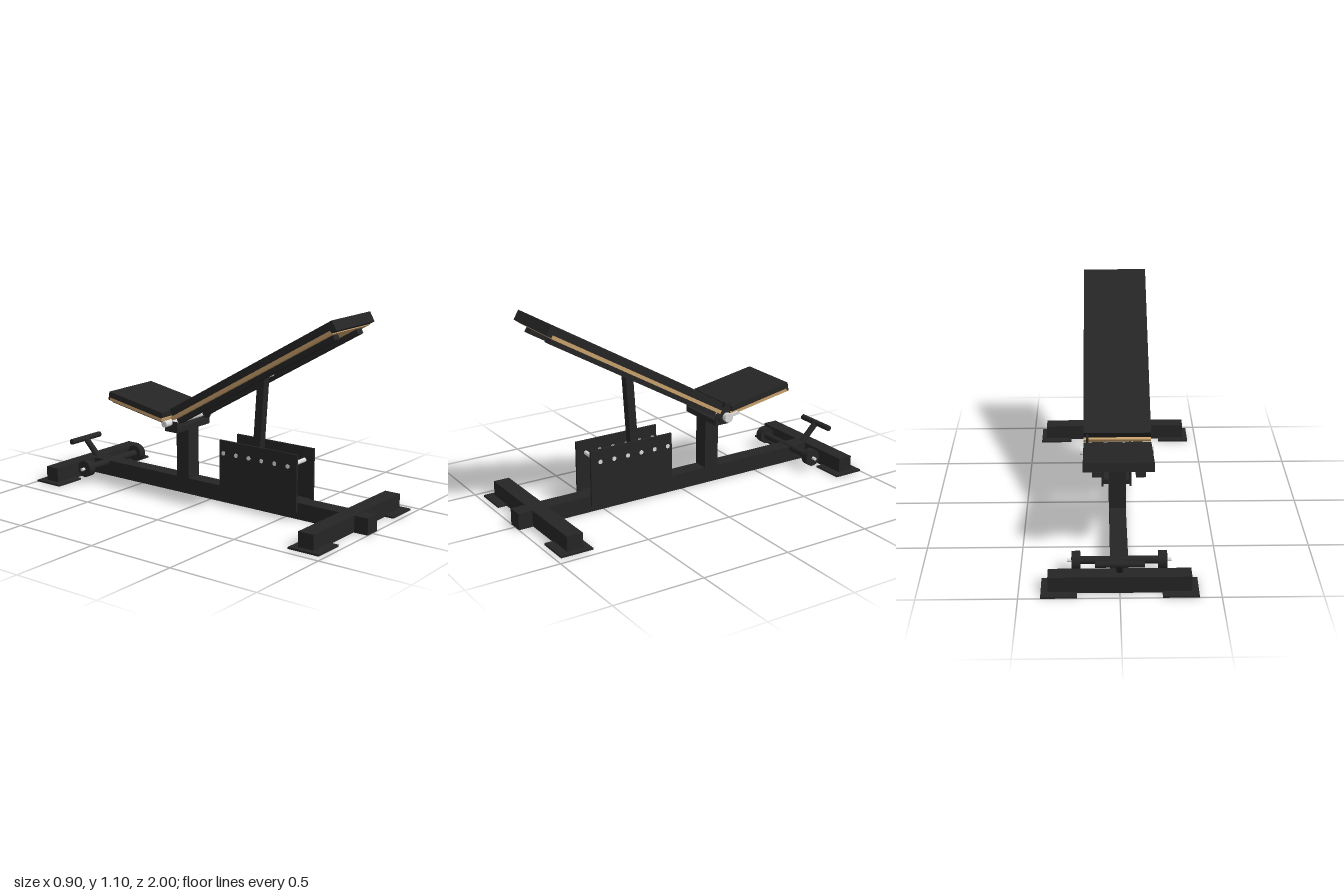
import * as THREE from 'three';

const mat = (name, color) => Object.assign(new THREE.MeshStandardMaterial({ color }), { name });

export function createModel() {
  const black = mat('black', 0x252525);
  const wood = mat('plywood', 0xc8a06a);
  const metal = mat('steel', 0xdadada);

  const model = new THREE.Group();
  model.name = 'adjustableBench';

  // Box given by its min and max on each axis
  const box = (name, m, [x0, x1], [y0, y1], [z0, z1], parent = model) => {
    const mesh = new THREE.Mesh(new THREE.BoxGeometry(x1 - x0, y1 - y0, z1 - z0), m);
    mesh.position.set((x0 + x1) / 2, (y0 + y1) / 2, (z0 + z1) / 2);
    mesh.name = name;
    parent.add(mesh);
    return mesh;
  };
  // Round bar along x
  const rod = (name, m, x0, x1, y, z, r, parent = model, sides = 20) => {
    const mesh = new THREE.Mesh(new THREE.CylinderGeometry(r, r, x1 - x0, sides), m);
    mesh.rotation.z = Math.PI / 2;
    mesh.position.set((x0 + x1) / 2, y, z);
    mesh.name = name;
    parent.add(mesh);
    return mesh;
  };
  // Bar between two points in the x = 0 plane
  const strut = (name, geometry, y0, z0, y1, z1) => {
    const mesh = new THREE.Mesh(geometry, black);
    mesh.position.set(0, (y0 + y1) / 2, (z0 + z1) / 2);
    mesh.rotation.x = Math.atan2(z1 - z0, y1 - y0);
    mesh.name = name;
    model.add(mesh);
  };
  const sides = [-1, 1];
  const span = (s, a, b) => (s > 0 ? [a, b] : [-b, -a]);

  // Base frame
  box('mainBeam', black, [-0.045, 0.045], [0, 0.09], [-0.9, 1]);
  box('frontCrossbar', black, [-0.42, 0.42], [0.002, 0.091], [0.83, 0.92]);
  box('rearCrossbar', black, [-0.355, 0.355], [0.002, 0.091], [-0.955, -0.87]);
  for (const s of sides) {
    box('frontFootPlate', black, span(s, 0.27, 0.45), [0, 0.01], [0.79, 0.97]);
    box('rearFootPlate', black, span(s, 0.21, 0.39), [0, 0.01], [-1, -0.825]);
  }

  // Transport wheels
  rod('wheelAxleTube', black, -0.2, 0.2, 0.08, -0.77, 0.02);
  rod('wheelAxle', metal, -0.262, 0.262, 0.08, -0.77, 0.009);
  for (const s of sides) {
    const [a, b] = span(s, 0.196, 0.24);
    rod('wheel', black, a, b, 0.08, -0.77, 0.047, model, 28);
  }

  // Lifting handle
  strut('handleStem', new THREE.CylinderGeometry(0.018, 0.018, 0.145, 16), 0.08, -0.88, 0.181, -0.982);
  rod('handleGrip', black, -0.12, 0.12, 0.181, -0.982, 0.0165);

  // Post and cradle
  box('post', black, [-0.045, 0.045], [0.085, 0.4], [-0.24, -0.155]);
  box('cradle', black, [-0.145, 0.145], [0.37, 0.4], [-0.24, -0.155]);
  for (const s of sides) box('cradleCheek', black, span(s, 0.137, 0.145), [0.37, 0.43], [-0.24, -0.155]);

  // Pivot with toothed adjuster and lever
  const py = 0.422, pz = -0.205;
  rod('pivotRod', metal, -0.195, 0.2, py, pz, 0.018);
  rod('pivotCap', metal, 0.175, 0.2, py, pz, 0.026);
  const lever = box('lever', metal, [0.178, 0.196], [py + 0.004, py + 0.02], [-0.272, pz]);
  lever.rotation.x = 0.15;
  const gear = new THREE.Shape();
  for (let i = 0; i <= 14; i++) {
    const a = (i / 14) * Math.PI;
    const r = i % 2 ? 0.082 : 0.05;
    gear[i ? 'lineTo' : 'moveTo'](r * Math.cos(a), r * Math.sin(a));
  }
  gear.absarc(0, 0, 0.042, Math.PI, Math.PI * 2, false);
  const adjuster = new THREE.Mesh(new THREE.ExtrudeGeometry(gear, { depth: 0.012, bevelEnabled: false }), black);
  adjuster.rotation.y = Math.PI / 2;
  adjuster.position.set(0.154, py, pz);
  adjuster.name = 'toothedAdjuster';
  model.add(adjuster);

  // Ladder plates with six rest pins
  for (const s of sides) box('ladderPlate', black, span(s, 0.073, 0.085), [0.05, 0.36], [0.092, 0.592]);
  box('ladderSpacer', black, [-0.074, 0.074], [0.055, 0.085], [0.11, 0.57]);
  for (let i = 0; i < 6; i++) rod('restPin', metal, -0.087, 0.087, 0.29, 0.118 + i * 0.0835, 0.012);

  // Backrest prop
  strut('prop', new THREE.BoxGeometry(0.045, 0.43, 0.045), 0.292, 0.288, 0.71, 0.316);
  rod('propPin', metal, -0.088, 0.088, 0.722, 0.316, 0.011);

  // Backrest: local z climbs the slope, local y is the padded side
  const back = new THREE.Group();
  back.name = 'backrest';
  back.position.set(0, 1.098, 0.845);
  back.rotation.x = -Math.PI / 6;
  model.add(back);
  box('backCushion', black, [-0.18, 0.18], [-0.04, 0], [-1.18, 0], back);
  box('backCushionLip', black, [-0.18, 0.18], [-0.056, -0.04], [-0.032, 0], back);
  box('backBoard', wood, [-0.18, 0.18], [-0.06, -0.04], [-1.195, -0.032], back);
  for (const s of sides) box('backRail', black, span(s, 0.086, 0.135), [-0.088, -0.06], [-1.2, -0.06], back);

  // Seat: local z runs down towards the pivot
  const seat = new THREE.Group();
  seat.name = 'seat';
  seat.position.set(0, 0.547, -0.617);
  seat.rotation.x = Math.PI / 18;
  model.add(seat);
  box('seatCushion', black, [-0.18, 0.18], [-0.032, 0], [0, 0.39], seat);
  box('seatCushionLip', black, [-0.18, 0.18], [-0.048, -0.032], [0, 0.012], seat);
  box('seatBoard', wood, [-0.18, 0.18], [-0.05, -0.032], [0.012, 0.395], seat);
  for (const s of sides) box('seatRail', black, span(s, 0.086, 0.135), [-0.074, -0.05], [-0.006, 0.4], seat);

  return model;
}
